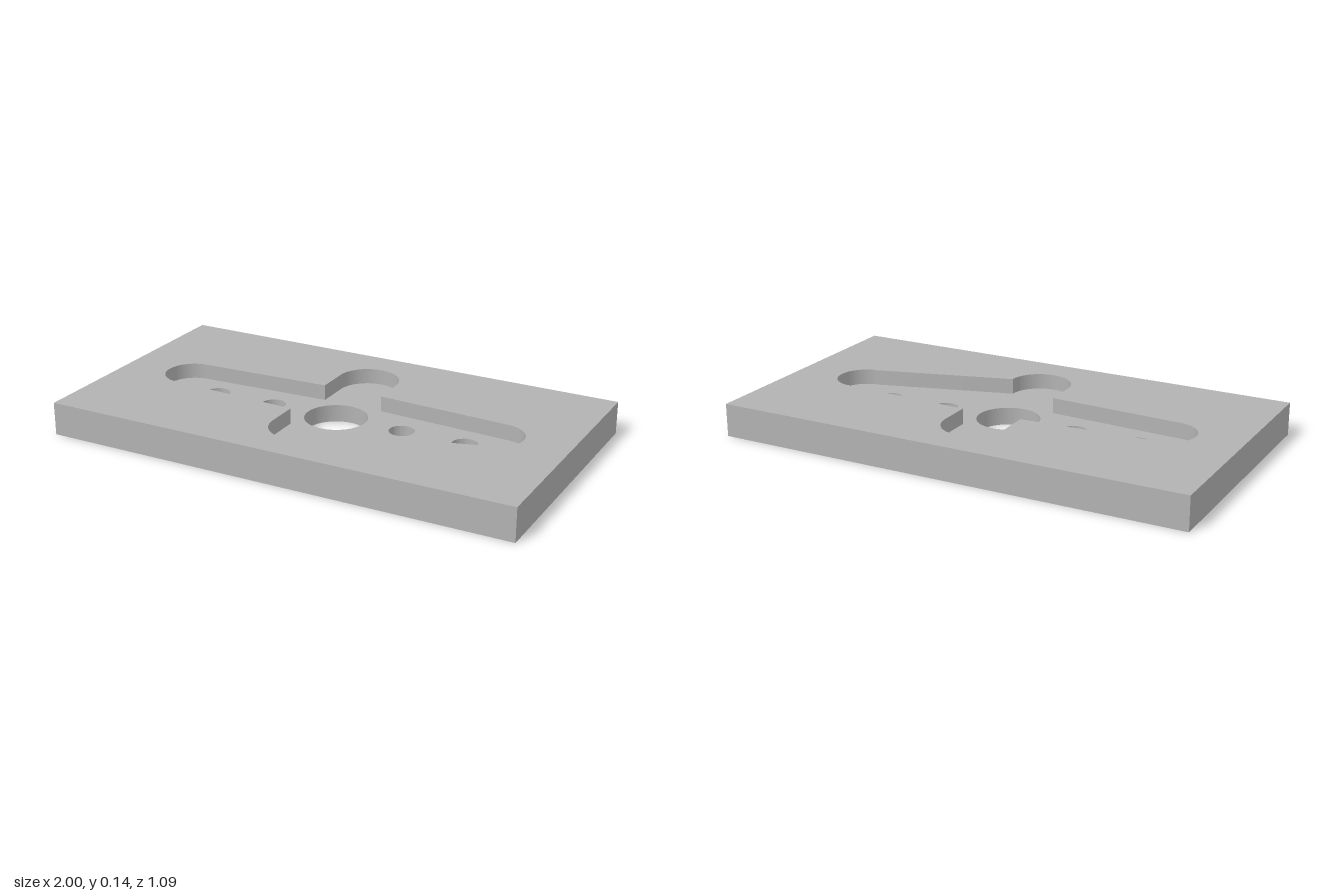
import * as THREE from 'three';
import { toCreasedNormals } from 'three/addons/utils/BufferGeometryUtils.js';

const W = 1, D = 0.545, TOP = 0.138, FLOOR = 0.073;
const SLOT_R = 0.13, SLOT_Z = 0.282, ARM_R = 0.114, ARM_X = 0.694, CORNER = 0.143;

// Closed counter-clockwise outlines, without repeated points
function outline(path) {
  const pts = path.getPoints(32);
  return pts.filter((p, i) => p.distanceTo(pts[(i + 1) % pts.length]) > 1e-4);
}

function circle(x, r) {
  return outline(new THREE.Path().absarc(x, 0, r, 0, Math.PI * 2));
}

// Cross-shaped pocket: tapered arms along x, straight slot along z
function pocketOutline() {
  const tilt = 0.053, q = Math.PI / 2;
  const s = new THREE.Path();
  s.moveTo(SLOT_R, -CORNER);
  s.absarc(ARM_X, 0, ARM_R, -q + tilt, q - tilt);
  s.lineTo(SLOT_R, CORNER);
  s.absarc(0, SLOT_Z, SLOT_R, 0, Math.PI);
  s.lineTo(-SLOT_R, CORNER);
  s.absarc(-ARM_X, 0, ARM_R, q + tilt, 3 * q - tilt);
  s.lineTo(-SLOT_R, -CORNER);
  s.absarc(0, -SLOT_Z, SLOT_R, Math.PI, Math.PI * 2);
  s.closePath();
  return outline(s);
}

// Flat horizontal face with holes, facing up or down
function face(pts, holes, y, up) {
  const shape = new THREE.Shape(pts);
  shape.holes = holes.map((h) => new THREE.Path(h));
  const g = new THREE.ShapeGeometry(shape);
  g.rotateX(up ? -Math.PI / 2 : Math.PI / 2);
  g.translate(0, y, 0);
  return g;
}

// Upright wall along an outline, facing outward or into the opening
function wall(outlinePts, y0, y1, inward) {
  const pts = inward ? outlinePts.slice().reverse() : outlinePts;
  const v = [];
  pts.forEach((a, i) => {
    const b = pts[(i + 1) % pts.length];
    v.push(a.x, y0, -a.y, b.x, y0, -b.y, b.x, y1, -b.y);
    v.push(a.x, y0, -a.y, b.x, y1, -b.y, a.x, y1, -a.y);
  });
  const g = new THREE.BufferGeometry();
  g.setAttribute('position', new THREE.Float32BufferAttribute(v, 3));
  g.computeVertexNormals();
  return toCreasedNormals(g, 0.5);
}

export function createModel() {
  const group = new THREE.Group();
  group.name = 'pocketedPlate';
  const metal = new THREE.MeshStandardMaterial({ color: 0xb2b2b2 });
  metal.name = 'plain grey';
  const add = (name, geometry) => {
    const mesh = new THREE.Mesh(geometry, metal);
    mesh.name = name;
    group.add(mesh);
  };

  const rim = [[-W, -D], [W, -D], [W, D], [-W, D]].map(([x, y]) => new THREE.Vector2(x, y));
  const pocket = pocketOutline();
  const centreHole = circle(0, SLOT_R);
  const screwHoles = [-0.567, -0.295, 0.295, 0.567].map((x) => circle(x, 0.052));
  const holes = [centreHole, ...screwHoles];

  // Plate body
  add('plateTop', face(rim, [pocket], TOP, true));
  add('plateBottom', face(rim, holes, 0, false));
  add('plateSides', wall(rim, 0, TOP, false));

  // Recessed pocket
  add('pocketFloor', face(pocket, holes, FLOOR, true));
  add('pocketWall', wall(pocket, FLOOR, TOP, true));

  // Through holes
  add('centreHoleWall', wall(centreHole, 0, FLOOR, true));
  screwHoles.forEach((h, i) => add('screwHoleWall' + (i + 1), wall(h, 0, FLOOR, true)));

  return group;
}
